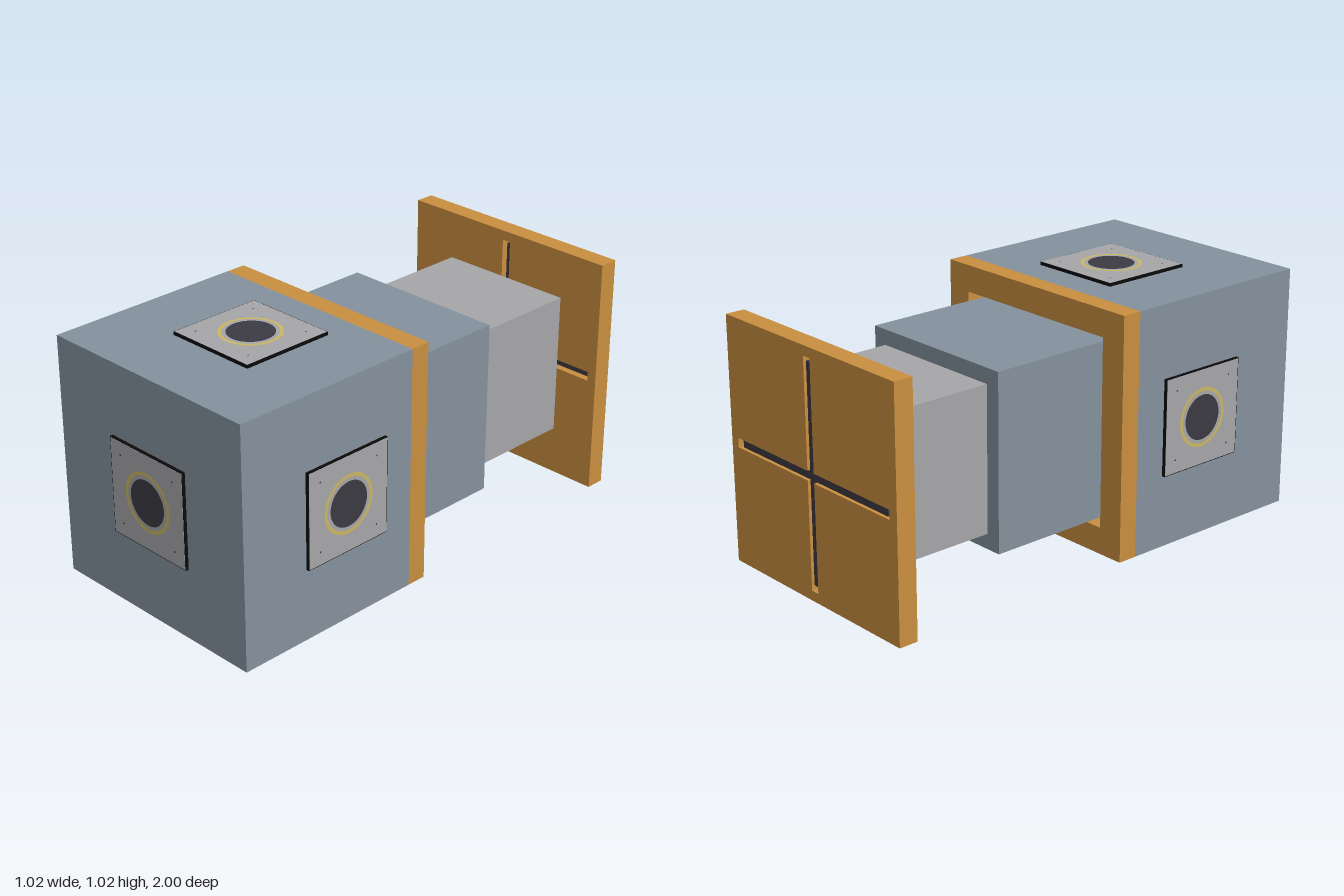
import * as THREE from 'three';

const mat = (name, color, extra = {}) => new THREE.MeshStandardMaterial({ name, color, ...extra });

export function createModel() {
  const steel = mat('steel blue', 0x84919d);
  const grey = mat('light grey', 0xa6a6a9);
  const orange = mat('orange', 0xc98f40);
  const black = mat('black', 0x0a0a0a);
  const dark = mat('dark lens', 0x3c3a42);
  const gold = mat('gold', 0xcbb662);

  const CY = 0.515; // height of the long axis
  const model = new THREE.Group();
  model.name = 'model';

  const add = (parent, name, geometry, material, x = 0, y = 0, z = 0) => {
    const mesh = new THREE.Mesh(geometry, material);
    mesh.name = name;
    mesh.position.set(x, y, z);
    parent.add(mesh);
    return mesh;
  };

  // Square block centred on the long axis, spanning z0 to z1
  const block = (name, size, z0, z1, material) =>
    add(model, name, new THREE.BoxGeometry(size, size, z1 - z0), material, 0, CY, (z0 + z1) / 2);

  // Square plate with a hole, spanning z0 to z1
  const pierced = (name, size, hole, z0, z1) => {
    const h = size / 2;
    const shape = new THREE.Shape([[-h, -h], [h, -h], [h, h], [-h, h]].map(p => new THREE.Vector2(...p)));
    shape.holes.push(new THREE.Path(hole.map(p => new THREE.Vector2(...p))));
    const geometry = new THREE.ExtrudeGeometry(shape, { depth: z1 - z0, bevelEnabled: false });
    add(model, name, geometry, orange, 0, CY, z0);
  };

  // Body and telescoping neck
  block('body', 0.99, 0.155, 0.985, steel);
  block('neckOuter', 0.715, -0.42, 0.155, steel);
  block('neckInner', 0.59, -0.92, -0.42, grey);

  // Orange collar with a square opening around the neck
  const c = 0.385;
  pierced('collar', 0.99, [[-c, -c], [-c, c], [c, c], [c, -c]], 0.072, 0.155);

  // End plate with a cross-shaped slot
  const w = 0.019, l = 0.455;
  pierced('endPlate', 0.99, [
    [-w, -l], [-w, -w], [-l, -w], [-l, w], [-w, w], [-w, l],
    [w, l], [w, w], [l, w], [l, -w], [w, -w], [w, -l],
  ], -1, -0.92);

  // Dark bars recessed in the slot
  add(model, 'slotBarVertical', new THREE.BoxGeometry(0.032, 0.87, 0.045), dark, 0, CY, -0.9675);
  add(model, 'slotBarHorizontal', new THREE.BoxGeometry(0.87, 0.032, 0.045), dark, 0, CY, -0.9675);

  // Sensor panel, built facing +z from its mounting surface
  const sensorPanel = (name, position, rotation) => {
    const panel = new THREE.Group();
    panel.name = name;
    add(panel, 'panelBack', new THREE.BoxGeometry(0.396, 0.396, 0.013), black, 0, 0, 0.0065);
    add(panel, 'panelFace', new THREE.BoxGeometry(0.39, 0.39, 0.002), grey, 0, 0, 0.013);
    add(panel, 'lensRing', new THREE.RingGeometry(0.107, 0.121, 48), gold, 0, 0, 0.0148);
    add(panel, 'lens', new THREE.CircleGeometry(0.092, 48), dark, 0, 0, 0.0152);
    for (const x of [-0.142, 0.142]) {
      for (const y of [-0.142, 0.142]) {
        add(panel, 'screw', new THREE.CircleGeometry(0.004, 8), dark, x, y, 0.0148);
      }
    }
    panel.position.set(...position);
    panel.rotation.set(...rotation);
    model.add(panel);
  };

  const q = Math.PI / 2;
  sensorPanel('frontPanel', [0, CY, 0.985], [0, 0, 0]);
  sensorPanel('leftPanel', [0.495, CY, 0.49], [0, q, 0]);
  sensorPanel('rightPanel', [-0.495, CY, 0.49], [0, -q, 0]);
  sensorPanel('topPanel', [0, CY + 0.495, 0.485], [-q, 0, 0]);
  sensorPanel('bottomPanel', [0, CY - 0.495, 0.485], [q, 0, 0]);

  // Rest the lowest panel exactly on the ground
  model.updateMatrixWorld(true);
  const low = new THREE.Box3().setFromObject(model).min.y;
  for (const child of model.children) child.position.y -= low;
  return model;
}
